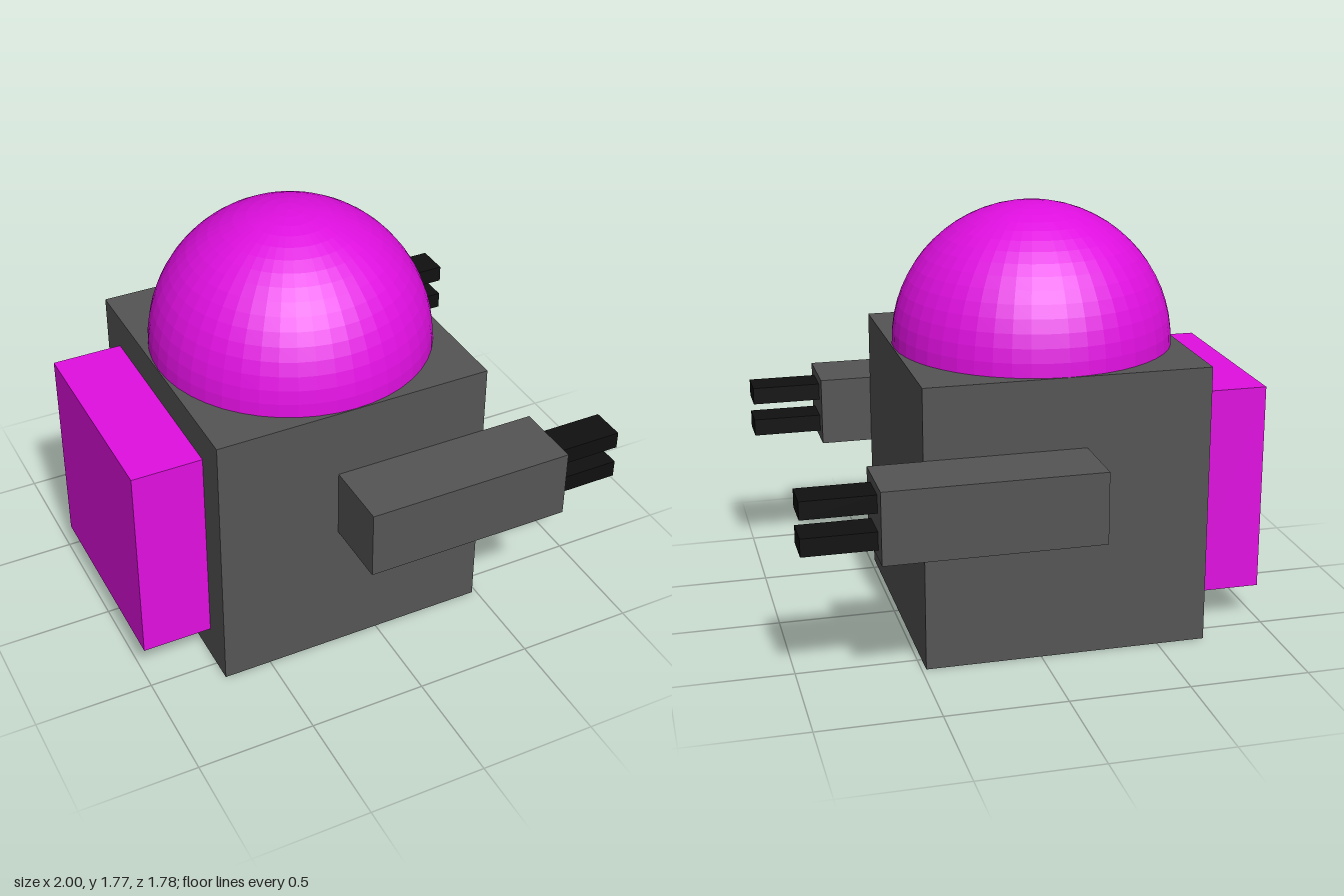
import * as THREE from 'three';

const U = 2 / 27; // modelling unit: the full length is 27 units

export function createModel() {
  const root = new THREE.Group();
  root.name = 'robot';

  const mat = (name, color, flatShading = false) => {
    const m = new THREE.MeshStandardMaterial({ color, flatShading });
    m.name = name;
    return m;
  };
  const grey = mat('dark grey', 0x555555);
  const magenta = mat('magenta', 0xe00fe0, true);
  const black = mat('black', 0x101010);

  // Box given by its minimum and maximum corners in units
  const box = (name, material, min, max, parent = root) => {
    const size = max.map((v, i) => (v - min[i]) * U);
    const mesh = new THREE.Mesh(new THREE.BoxGeometry(...size), material);
    mesh.position.set(...max.map((v, i) => (v + min[i]) * U / 2));
    mesh.name = name;
    parent.add(mesh);
  };

  // Cube body and the pack on its back
  box('body', grey, [-9.5, 0, -8], [6.5, 16, 8]);
  box('backpack', magenta, [-13.5, 2, -6], [-9.5, 14, 6]);

  // Half-sphere head
  const dome = new THREE.Mesh(
    new THREE.SphereGeometry(7.95 * U, 48, 16, 0, Math.PI * 2, 0, Math.PI / 2), magenta);
  dome.name = 'domeHead';
  dome.position.set(-1.5 * U, 16 * U, 0);
  root.add(dome);

  // Side arms, each with two gripper prongs
  for (const side of [-1, 1]) {
    const arm = new THREE.Group();
    arm.name = side > 0 ? 'frontArm' : 'backArm';
    const z = side * 10;
    box('forearm', grey, [-2.5, 8, z - 2], [9.5, 12, z + 2], arm);
    for (const y of [9, 11]) {
      box(y > 10 ? 'upperProng' : 'lowerProng', black,
        [9.5, y - 0.5, z - 1], [13.5, y + 0.5, z + 1], arm);
    }
    root.add(arm);
  }
  return root;
}
